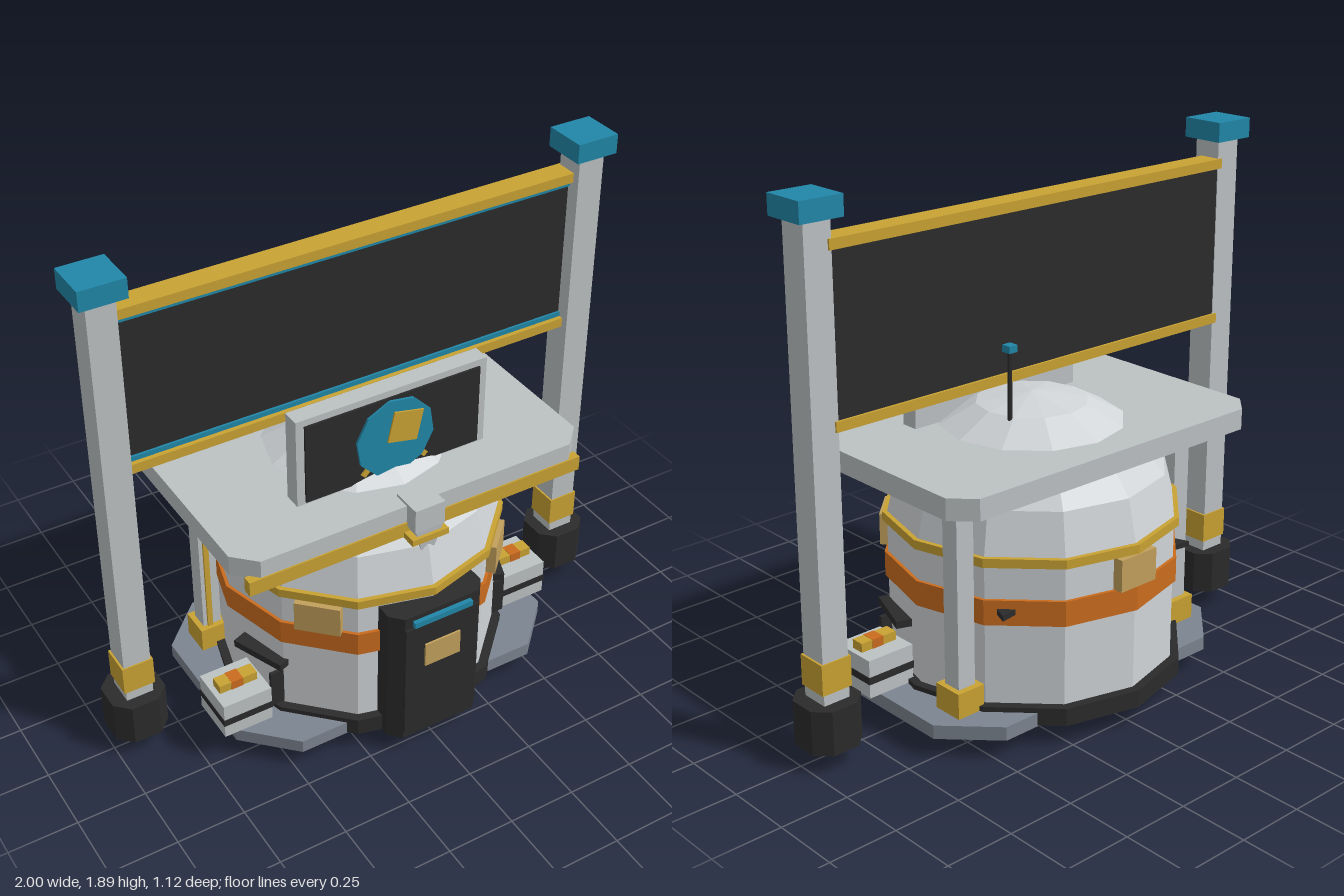
import * as THREE from 'three';

const mat = (name, color) => {
  const m = new THREE.MeshStandardMaterial({ color, flatShading: true });
  m.name = name;
  return m;
};

export function createModel() {
  const root = new THREE.Group();
  root.name = 'domeKiosk';
  const panel = mat('paleGrey', 0xd0d4d7);
  const grey = mat('lightGrey', 0xbcc1c3);
  const slate = mat('slateGrey', 0x7c8490);
  const dark = mat('charcoal', 0x2b2b2c);
  const gold = mat('gold', 0xc9a233);
  const blue = mat('blue', 0x2187a8);
  const orange = mat('orange', 0xcb6c1e);
  const tan = mat('tan', 0xc2a05c);
  const CZ = -0.02; // depth of the building's axis

  const add = (name, geo, material, x = 0, y = 0, z = 0, ry = 0, parent = root) => {
    const m = new THREE.Mesh(geo, material);
    m.name = name;
    m.position.set(x, y, z);
    m.rotation.y = ry;
    parent.add(m);
    return m;
  };
  const box = (name, material, w, h, d, x, y, z, ry = 0, parent = root) =>
    add(name, new THREE.BoxGeometry(w, h, d), material, x, y, z, ry, parent);
  // Vertical prism from a plan outline given as [x, z]
  const prism = (pts, h) => {
    const s = new THREE.Shape(pts.map(([x, z]) => new THREE.Vector2(x, -z)));
    const g = new THREE.ExtrudeGeometry(s, { depth: h, bevelEnabled: false });
    return g.rotateX(-Math.PI / 2);
  };
  const octagon = (w, d, c) => {
    const a = w / 2, b = d / 2;
    return [[a, b - c], [a, c - b], [a - c, -b], [c - a, -b], [-a, c - b], [-a, b - c], [c - a, b], [a - c, b]];
  };
  // Twelve-sided band of the building
  const band = (name, material, r, y0, y1) =>
    add(name, new THREE.CylinderGeometry(r, r, y1 - y0, 12), material, 0, (y0 + y1) / 2, CZ);

  // Base
  add('platform', prism(octagon(1.29, 0.84, 0.17), 0.05), slate, 0, 0.07, 0);
  band('baseRing', dark, 0.54, 0.073, 0.138);
  add('footPlate', prism(octagon(0.41, 0.245, 0.05), 0.052), gold, 0, 0.018, CZ);
  add('footBevel', prism(octagon(0.33, 0.19, 0.04), 0.02), gold, 0, 0, CZ);

  // Round body
  band('bodyWall', panel, 0.508, 0.13, 0.65);
  band('orangeBand', orange, 0.52, 0.43, 0.52);
  band('goldRing', gold, 0.525, 0.638, 0.67);
  const dome = new THREE.SphereGeometry(0.51, 12, 4, Math.PI / 2, Math.PI * 2, 0, Math.PI / 2);
  add('dome', dome.scale(1, 0.41 / 0.51, 1), panel, 0, 0.66, CZ);
  for (const a of [Math.PI / 4, -Math.PI / 4, Math.PI]) {
    box('wallWindow', tan, 0.16, 0.115, 0.04, Math.sin(a) * 0.505, 0.578, CZ + Math.cos(a) * 0.505, a);
  }

  // Door
  const doorPlan = [[0.185, 0.42], [0.185, 0.5], [0.145, 0.543], [-0.145, 0.543], [-0.185, 0.5], [-0.185, 0.42]];
  add('doorFrame', prism(doorPlan, 0.55), dark, 0, 0.07, 0);
  box('doorPanel', dark, 0.29, 0.47, 0.02, 0, 0.335, 0.541);
  box('doorWindow', tan, 0.14, 0.095, 0.009, 0, 0.437, 0.554);
  box('doorLight', blue, 0.23, 0.022, 0.02, 0, 0.59, 0.55);

  // Roof slab, front trim and pointed bracket
  add('roof', prism(octagon(1.35, 0.85, 0.075), 0.075), grey, 0, 0.895, -0.02);
  box('roofTrim', gold, 1.29, 0.055, 0.035, 0, 0.877, 0.393);
  box('roofTrimLower', gold, 1.2, 0.03, 0.03, 0, 0.855, 0.385);
  box('trimClasp', gold, 0.14, 0.024, 0.06, 0, 0.857, 0.435);
  box('bracket', grey, 0.115, 0.09, 0.115, 0, 0.935, 0.4);
  const point = new THREE.BoxGeometry(0.11, 0.15, 0.07);
  const p = point.attributes.position;
  for (let i = 0; i < p.count; i++) {
    if (p.getY(i) < 0) { p.setX(i, p.getX(i) * 0.15); p.setZ(i, 0.02 + p.getZ(i) * 0.15); }
  }
  add('bracketPoint', point, grey, 0, 0.82, 0.42);

  // Roof sign
  box('signFrame', grey, 0.73, 0.335, 0.065, 0, 1.137, 0.192);
  box('signPanel', dark, 0.67, 0.3, 0.009, 0, 1.13, 0.228);
  const disc = new THREE.CylinderGeometry(0.15, 0.15, 0.01, 10).rotateX(Math.PI / 2).rotateZ(0.15);
  add('signDisc', disc, blue, 0, 1.125, 0.237);
  box('signSquare', gold, 0.115, 0.115, 0.008, 0.035, 1.16, 0.244).rotation.z = -0.22;
  for (const s of [1, -1]) {
    box('signStub', gold, 0.035, 0.02, 0.008, s * 0.11, 1.02, 0.236).rotation.z = s * -0.8;
  }

  // Antenna
  add('antennaRod', new THREE.CylinderGeometry(0.008, 0.008, 0.3, 6), dark, 0.18, 1.12, -0.11);
  box('antennaTip', blue, 0.035, 0.025, 0.035, 0.18, 1.28, -0.11);

  // Billboard between the posts
  box('billboard', dark, 1.72, 0.54, 0.05, 0, 1.45, -0.045);
  for (const [y, stripY] of [[1.738, 1.709], [1.165, 1.191]]) {
    box('billboardRail', gold, 1.72, 0.035, 0.085, 0, y, -0.037);
    box('billboardStrip', blue, 1.7, 0.018, 0.009, 0, stripY, -0.016);
  }

  for (const s of [1, -1]) {
    const side = new THREE.Group();
    side.name = s > 0 ? 'leftSide' : 'rightSide';
    root.add(side);
    // Tall post
    add('postFoot', prism(octagon(0.2, 0.2, 0.05), 0.16), dark, s * 0.9, 0.07, CZ, 0, side);
    box('post', grey, 0.1, 1.61, 0.105, s * 0.897, 1.02, CZ, 0, side);
    box('postCollar', gold, 0.115, 0.11, 0.115, s * 0.897, 0.325, CZ, 0, side);
    box('postCap', blue, 0.16, 0.07, 0.16, s * 0.897, 1.855, CZ, 0, side);
    // Rear roof column
    box('column', grey, 0.07, 0.78, 0.07, s * 0.505, 0.51, -0.222, 0, side);
    box('columnBase', gold, 0.11, 0.095, 0.115, s * 0.505, 0.165, -0.222, 0, side);
    box('columnStrip', gold, 0.02, 0.64, 0.01, s * 0.515, 0.52, -0.184, 0, side);
    // Shelf with its bracket, and rear fin
    box('shelf', dark, 0.21, 0.027, 0.065, s * 0.475, 0.331, 0.152, s * 1.2, side);
    box('shelfBracket', dark, 0.055, 0.145, 0.014, s * 0.463, 0.215, 0.225, 0, side);
    add('rearFin', new THREE.CylinderGeometry(0.07, 0.07, 0.02, 3), dark, s * 0.385, 0.48, -0.32, s * 2.25, side);
    // Side crate
    const z = s > 0 ? 0.115 : 0.175;
    box('crate', grey, 0.185, 0.14, 0.18, s * 0.6, 0.193, z, 0, side);
    box('crateBand', dark, 0.19, 0.026, 0.186, s * 0.6, 0.188, z, 0, side);
    box('crateHandle', gold, 0.145, 0.034, 0.05, s * 0.6, 0.279, z, 0, side);
    box('crateLatch', orange, 0.045, 0.036, 0.054, s * 0.605, 0.279, z, 0, side);
  }
  return root;
}
